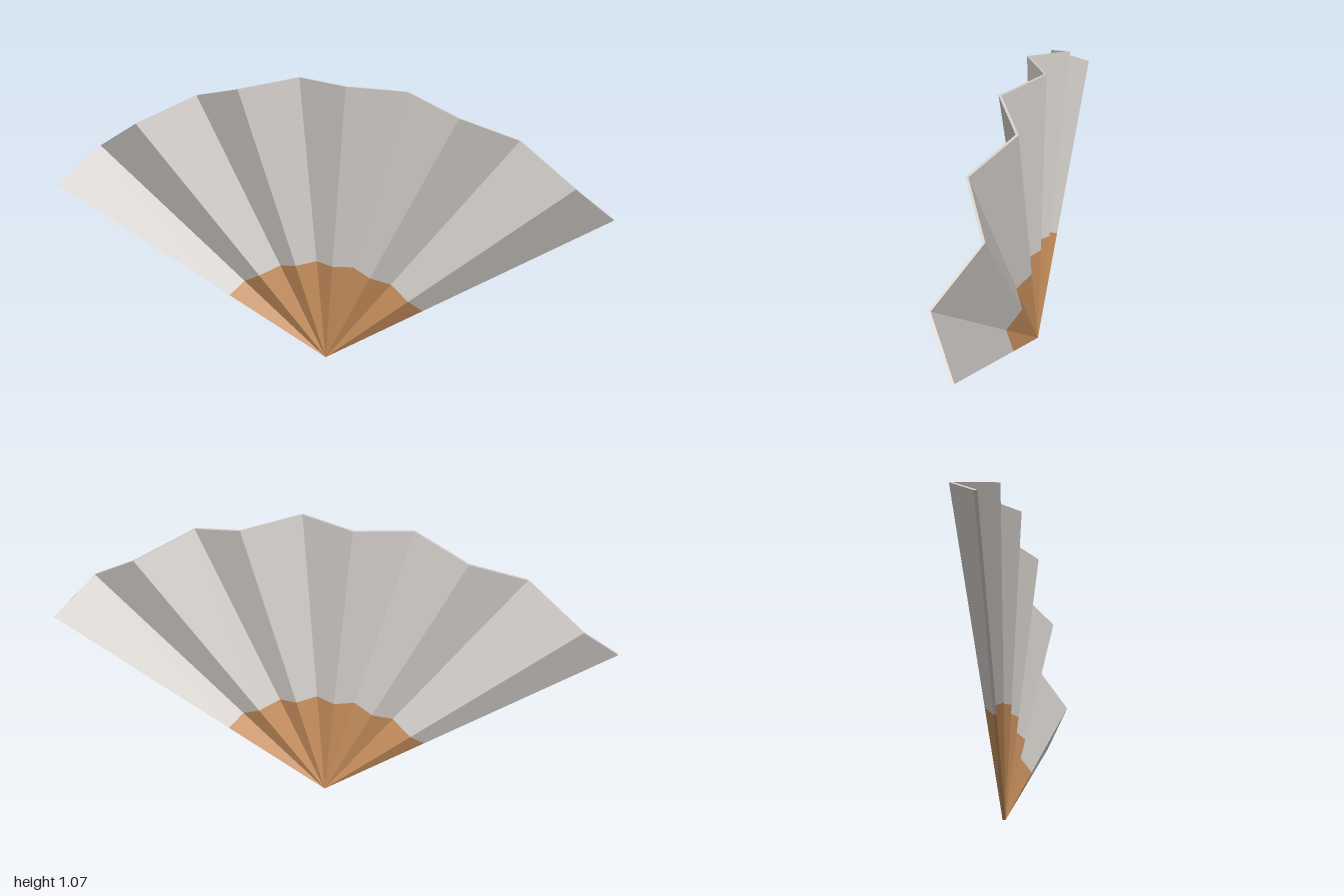
import * as THREE from 'three';

const THICK = 0.01;      // sheet thickness, front to back
const HANDLE = 0.363;    // share of each fold covered by the wooden part
const VALLEY = -0.048, PEAK = 0.058;

// Rim corners of the right half, from the centre outwards
const HALF_RIM = [[0.095, 1.065], [0.285, 1.035], [0.478, 0.98], [0.672, 0.89], [0.868, 0.768], [1, 0.637]];

// Full zigzag rim, left to right, alternating peak and valley
function rimPoints() {
  const left = HALF_RIM.map(([x, y]) => [-x, y]).reverse();
  return [...left, ...HALF_RIM].map(([x, y], i) => new THREE.Vector3(x, y, i % 2 ? VALLEY : PEAK));
}

// Pleated sheet between two shares of the fold lines
function pleats(rim, from, to, closeRim) {
  const apex = new THREE.Vector3(0, 0, VALLEY);
  const back = (p) => p.clone().setZ(p.z - THICK);
  const inner = rim.map((p) => apex.clone().lerp(p, from));
  const outer = rim.map((p) => apex.clone().lerp(p, to));
  const positions = [];
  const tri = (...pts) => pts.forEach((p) => positions.push(p.x, p.y, p.z));
  const quad = (a, b, c, d) => {
    if (a.distanceTo(b) > 1e-6) tri(a, b, c);
    tri(a, c, d);
  };
  const last = rim.length - 1;
  for (let i = 0; i < last; i++) {
    const [a, b, c, d] = [inner[i], inner[i + 1], outer[i + 1], outer[i]];
    quad(a, b, c, d);                               // front
    quad(back(b), back(a), back(d), back(c));       // back
    if (closeRim) quad(d, c, back(c), back(d));     // outer rim edge
  }
  // Side edges
  quad(back(inner[0]), inner[0], outer[0], back(outer[0]));
  quad(inner[last], back(inner[last]), back(outer[last]), outer[last]);

  const geometry = new THREE.BufferGeometry();
  geometry.setAttribute('position', new THREE.Float32BufferAttribute(positions, 3));
  geometry.computeVertexNormals();
  return geometry;
}

export function createModel() {
  const paper = new THREE.MeshStandardMaterial({ color: 0xd2cdc9 });
  paper.name = 'paper';
  const wood = new THREE.MeshStandardMaterial({ color: 0xc68e5c });
  wood.name = 'wood';

  const rim = rimPoints();
  const group = new THREE.Group();
  group.name = 'foldingFan';

  const leaf = new THREE.Mesh(pleats(rim, HANDLE, 1, true), paper);
  leaf.name = 'pleatedLeaf';
  const handle = new THREE.Mesh(pleats(rim, 0, HANDLE, false), wood);
  handle.name = 'handle';
  group.add(leaf, handle);
  return group;
}
